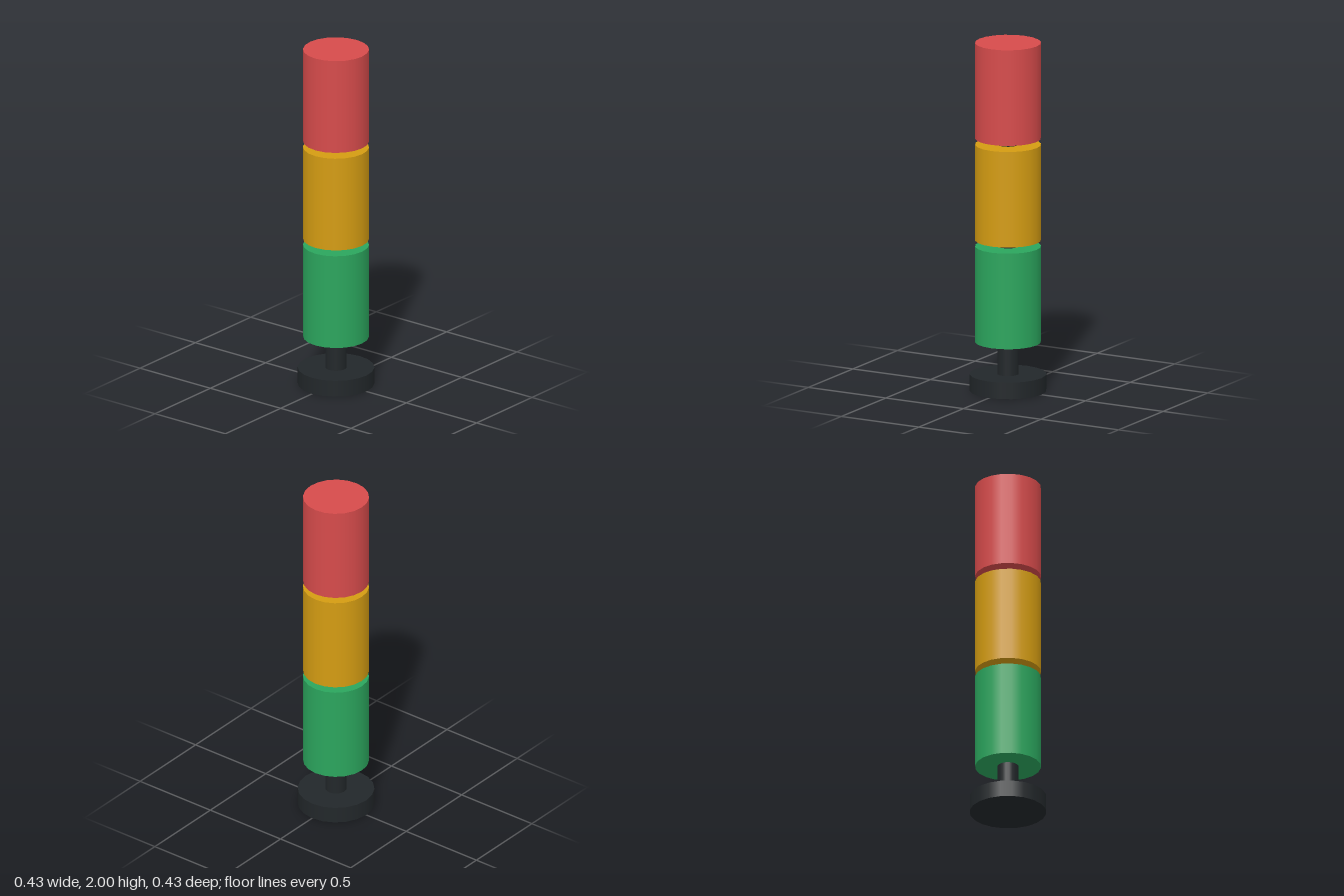
import * as THREE from 'three';

const SIDES = 20;

export function createModel() {
  const model = new THREE.Group();
  model.name = 'signalTower';

  // Upright cylinder standing on height y
  const addCylinder = (name, radius, y, height, material, sides = SIDES) => {
    const mesh = new THREE.Mesh(new THREE.CylinderGeometry(radius, radius, height, sides), material);
    mesh.name = name;
    mesh.position.y = y + height / 2;
    model.add(mesh);
  };

  // Foot and the pole that carries the lamps
  const dark = new THREE.MeshStandardMaterial({ color: 0x22272a });
  addCylinder('base', 0.215, 0, 0.095, dark);
  addCylinder('pole', 0.06, 0.095, 1.4, dark);

  // Stacked lamps, bottom to top, with narrow gaps
  const lamps = [['greenLamp', 0x2ba55d], ['amberLamp', 0xd49c12], ['redLamp', 0xd64b4b]];
  lamps.forEach(([name, color], i) => {
    addCylinder(name, 0.185, 0.28 + i * 0.585, 0.55, new THREE.MeshStandardMaterial({ color }));
  });

  return model;
}
